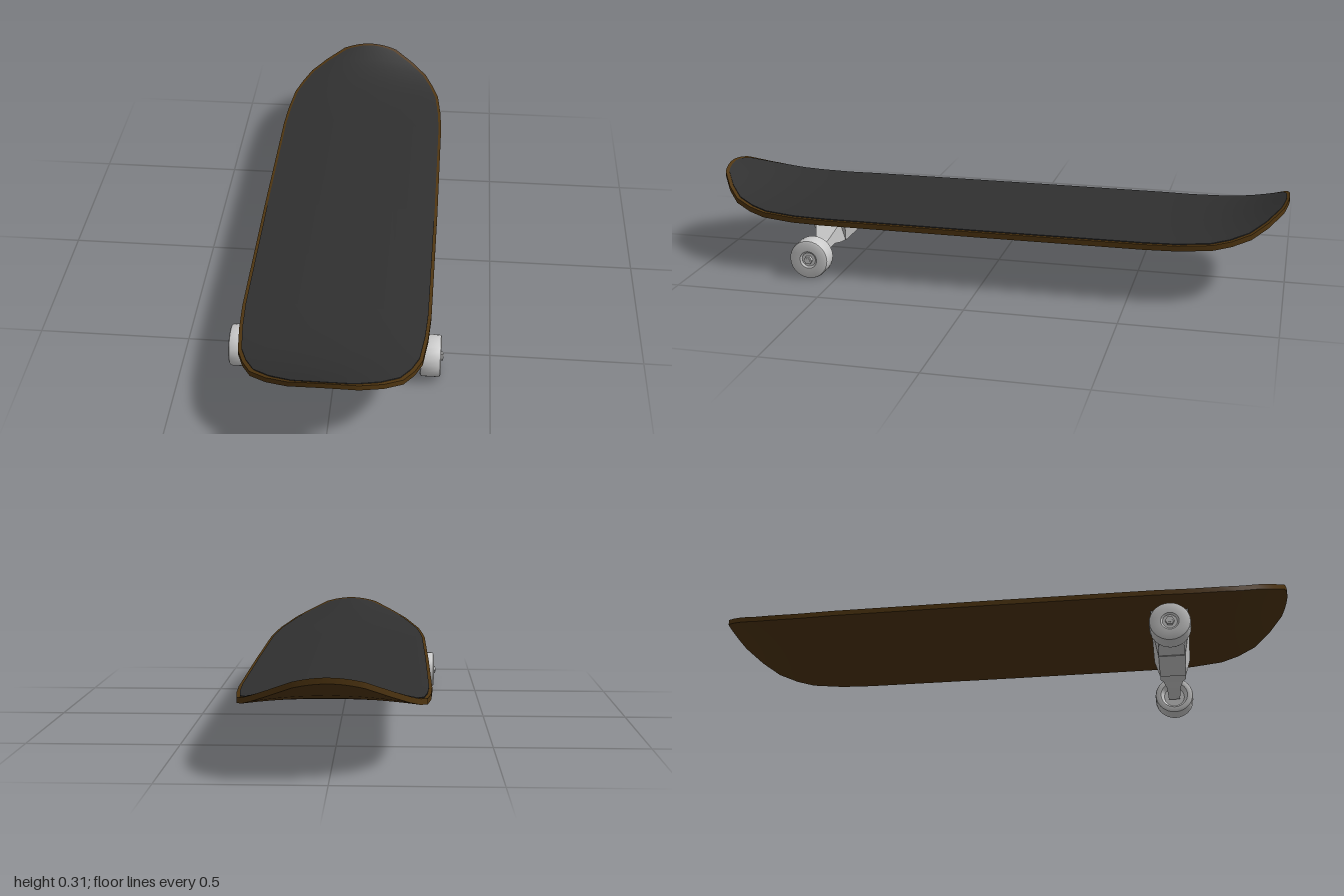
import * as THREE from 'three';
import { toCreasedNormals } from 'three/addons/utils/BufferGeometryUtils.js';
import { ConvexGeometry } from 'three/addons/geometries/ConvexGeometry.js';

const TRUCK_Z = 0.59;

// Half outline of the deck: [z, half width], from the middle to the nose
const HALF = [[0, 0.305], [0.55, 0.303], [0.66, 0.297], [0.77, 0.284],
  [0.83, 0.262], [0.89, 0.23], [0.94, 0.175], [0.985, 0.105]];
const STATIONS = [...HALF.slice(1).reverse().map(([z, w]) => [-z, w]), ...HALF];

// Underside height: crowned across, swept up at nose and tail
function deckHeight(x, z) {
  const k = (x / 0.305) ** 2;
  const t = Math.max(0, (Math.abs(z) - 0.62) / 0.38);
  return 0.184 + 0.012 * (1 - k) + 0.096 * t ** 2.4 * (1 - 0.5 * k);
}

// Closed plate following the deck curve between two offsets
function plate(inset, low, high) {
  const cols = 12, rows = STATIONS.length - 1;
  const pos = [], index = [];
  for (const offset of [low, high]) {
    STATIONS.forEach(([z0, w], i) => {
      for (let j = 0; j <= cols; j++) {
        const u = (2 * j) / cols - 1;
        const x = u * (w - inset);
        const bow = i === 0 || i === rows ? 0.015 * (1 - u * u) : 0;
        const z = (z0 + Math.sign(z0) * bow) * (1 - inset);
        pos.push(x, deckHeight(x, z) + offset, z);
      }
    });
  }
  const layer = (rows + 1) * (cols + 1);
  const at = (i, j) => i * (cols + 1) + j;
  for (let i = 0; i < rows; i++) {
    for (let j = 0; j < cols; j++) {
      const a = at(i, j), b = at(i + 1, j), c = at(i + 1, j + 1), d = at(i, j + 1);
      index.push(a, c, b, a, d, c);
      index.push(...[a, b, c, a, c, d].map((n) => n + layer));
    }
  }
  // Rim around the outline
  const rim = [];
  for (let i = 0; i < rows; i++) rim.push(at(i, 0));
  for (let j = 0; j < cols; j++) rim.push(at(rows, j));
  for (let i = rows; i > 0; i--) rim.push(at(i, cols));
  for (let j = cols; j > 0; j--) rim.push(at(0, j));
  rim.forEach((p, n) => {
    const q = rim[(n + 1) % rim.length];
    index.push(p + layer, p, q, p + layer, q, q + layer);
  });
  const g = new THREE.BufferGeometry();
  g.setAttribute('position', new THREE.Float32BufferAttribute(pos, 3));
  g.setIndex(index);
  return toCreasedNormals(g, 0.6);
}

// Truck block: hull of three rectangles [y, half width, half depth]
function truckBlock() {
  const pts = [];
  for (const [y, w, d] of [[0.194, 0.172, 0.063], [0.142, 0.138, 0.063], [0.06, 0.085, 0.045]]) {
    for (const sx of [-1, 1]) for (const sz of [-1, 1]) pts.push(new THREE.Vector3(sx * w, y, sz * d));
  }
  return new ConvexGeometry(pts);
}

// Hanger: box lofted through sections [x, bottom, top, half depth]
function hanger() {
  const sections = [
    [-0.28, 0.063, 0.1, 0.02], [-0.2, 0.063, 0.1, 0.024], [-0.17, 0.075, 0.12, 0.034],
    [-0.137, 0.07, 0.142, 0.045], [-0.085, 0.062, 0.142, 0.045],
    [0.085, 0.062, 0.142, 0.045], [0.137, 0.07, 0.142, 0.045],
    [0.17, 0.075, 0.12, 0.034], [0.2, 0.063, 0.1, 0.024], [0.28, 0.053, 0.088, 0.02],
  ];
  const n = sections.length - 1;
  const g = new THREE.BoxGeometry(1, 1, 1, n, 1, 1);
  const p = g.attributes.position;
  for (let i = 0; i < p.count; i++) {
    const [x, low, high, d] = sections[Math.round((p.getX(i) + 0.5) * n)];
    p.setXYZ(i, x, p.getY(i) > 0 ? high : low, p.getZ(i) > 0 ? d : -d);
  }
  g.computeVertexNormals();
  return g;
}

// Wheel profile [radius, distance outwards], hollow on the inner side
function wheelGeometry() {
  const profile = [[0, -0.012], [0.036, -0.012], [0.048, -0.033], [0.061, -0.033], [0.066, -0.03],
    [0.068, -0.024], [0.068, 0.024], [0.066, 0.03], [0.061, 0.033], [0.03, 0.033], [0.024, 0.028], [0, 0.028]];
  const g = new THREE.LatheGeometry(profile.map(([r, y]) => new THREE.Vector2(r, y)), 28);
  return toCreasedNormals(g, 0.6);
}

export function createModel() {
  const model = new THREE.Group();
  model.name = 'skateboard';
  const wood = new THREE.MeshStandardMaterial({ color: 0x4f3510 });
  const grip = new THREE.MeshStandardMaterial({ color: 0x303030 });
  const grey = new THREE.MeshStandardMaterial({ color: 0xcccccc });
  const metal = new THREE.MeshStandardMaterial({ color: 0xcccccc, flatShading: true });

  const add = (parent, name, geometry, material) => {
    const mesh = new THREE.Mesh(geometry, material);
    mesh.name = name;
    parent.add(mesh);
    return mesh;
  };

  add(model, 'deck', plate(0, 0, 0.018), wood);
  add(model, 'gripSurface', plate(0.01, 0.015, 0.021), grip);

  // Single truck under the nose
  const truck = new THREE.Group();
  truck.name = 'truck';
  truck.position.z = TRUCK_Z;
  model.add(truck);
  add(truck, 'truckBlock', truckBlock(), metal);
  add(truck, 'hanger', hanger(), metal);

  // Wheels with axle nuts
  for (const [side, s] of [['left', 1], ['right', -1]]) {
    const wheel = new THREE.Group();
    wheel.name = side + 'Wheel';
    wheel.position.set(s * 0.307, 0.069, 0);
    wheel.rotation.z = (-s * Math.PI) / 2;
    truck.add(wheel);
    add(wheel, side + 'Tyre', wheelGeometry(), grey);
    const nut = add(wheel, side + 'AxleNut', new THREE.CylinderGeometry(0.015, 0.015, 0.015, 6), metal);
    nut.position.y = 0.031;
    const axle = add(wheel, side + 'AxleEnd', new THREE.CylinderGeometry(0.008, 0.008, 0.07, 12), grey);
    axle.position.y = 0.006;
  }
  return model;
}
